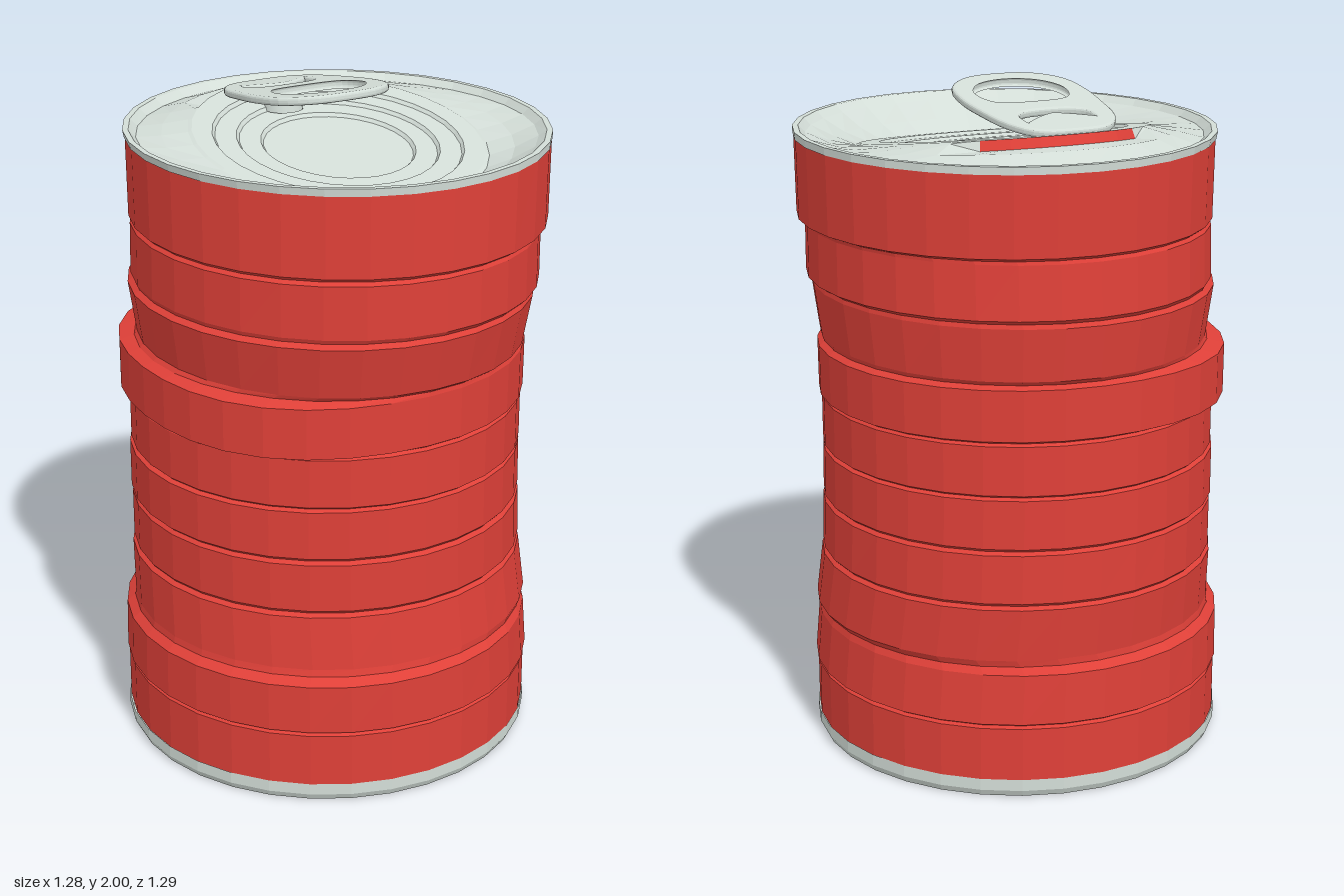
import * as THREE from 'three';

const SIDES = 32;
const red = new THREE.MeshStandardMaterial({ color: 0xdf4038, side: THREE.DoubleSide });
const metal = new THREE.MeshStandardMaterial({ color: 0xd3ddd7, side: THREE.DoubleSide });
red.name = 'red paint';
metal.name = 'bare metal';

// Elliptical ring; y may be a number or a rule of (x, z, angle)
function ring(y, cx, cz, rx, rz = rx, bump = () => 0) {
  return (t) => {
    const k = 1 + bump(t);
    const x = cx + rx * k * Math.sin(t), z = cz + rz * k * Math.cos(t);
    return new THREE.Vector3(x, typeof y === 'function' ? y(x, z, t) : y, z);
  };
}

// Faceted skin across a stack of rings, over a range of side numbers
function loft(name, rings, material, from = 0, to = SIDES) {
  const pos = [];
  const put = (...pts) => pts.forEach((p) => pos.push(p.x, p.y, p.z));
  for (let i = 0; i + 1 < rings.length; i++) {
    for (let j = from; j < to; j++) {
      const t0 = (j / SIDES) * Math.PI * 2, t1 = ((j + 1) / SIDES) * Math.PI * 2;
      const a = rings[i](t0), b = rings[i](t1), c = rings[i + 1](t1), d = rings[i + 1](t0);
      if (a.distanceTo(b) > 1e-6) put(a, b, c);
      if (c.distanceTo(d) > 1e-6) put(a, c, d);
    }
  }
  const g = new THREE.BufferGeometry();
  g.setAttribute('position', new THREE.Float32BufferAttribute(pos, 3));
  g.computeVertexNormals();
  const mesh = new THREE.Mesh(g, material);
  mesh.name = name;
  return mesh;
}

// Crumpled bands: bottom and top of each as [y, xMin, xMax, zMin, zMax]
const BANDS = [
  [[0.05, -0.635, 0.6, -0.607, 0.635], [0.215, -0.635, 0.6, -0.607, 0.635]],
  [[0.23, -0.64, 0.605, -0.61, 0.64], [0.38, -0.638, 0.59, -0.605, 0.64]],
  [[0.42, -0.61, 0.6, -0.58, 0.61], [0.58, -0.605, 0.585, -0.597, 0.592]],
  [[0.6, -0.6, 0.583, -0.597, 0.59], [0.745, -0.6, 0.578, -0.597, 0.59]],
  [[0.765, -0.602, 0.578, -0.6, 0.587], [0.91, -0.602, 0.576, -0.6, 0.587]],
  [[0.925, -0.597, 0.576, -0.6, 0.587], [1.07, -0.597, 0.576, -0.6, 0.587]],
  [[1.085, -0.61, 0.585, -0.603, 0.59], [1.235, -0.61, 0.587, -0.605, 0.59]],
  [[1.26, -0.567, 0.572, -0.605, 0.605], [1.415, -0.592, 0.59, -0.625, 0.643]],
  [[1.44, -0.58, 0.607, -0.63, 0.64], [1.595, -0.58, 0.605, -0.62, 0.64]],
  [[1.615, -0.582, 0.632, -0.63, 0.643], [1.85, -0.582, 0.637, -0.64, 0.643]],
];

function bodyRings() {
  const rings = [];
  const station = ([y, x0, x1, z0, z1], inset, bump) =>
    ring(y, (x0 + x1) / 2, (z0 + z1) / 2, (x1 - x0) / 2 - inset, (z1 - z0) / 2 - inset, bump);
  // Dent ridge pushed out on the two diagonals of the right side
  const ridge = (t) => (Math.sin(t) < -0.18 ? 0.045 * Math.sin(2 * t) ** 2 : 0);
  BANDS.forEach(([lo, hi], i) => {
    const bump = i === 6 ? ridge : undefined;
    rings.push(station(lo, 0, bump), station(hi, 0, bump));
    // Narrow groove before the next band
    const next = BANDS[i + 1];
    if (next) {
      const mid = hi.map((v, k) => (v + next[0][k]) / 2);
      rings.push(station(mid, 0.011));
    }
  });
  return rings;
}

// Closed shape through rounded points
function smoothPath(points, Type) {
  const curve = new THREE.CatmullRomCurve3(points.map(([x, y]) => new THREE.Vector3(x, y, 0)), true, 'centripetal');
  return new Type(curve.getPoints(48).slice(0, -1).map((p) => new THREE.Vector2(p.x, p.y)));
}

function pullTab() {
  // Drawn with +y toward the back
  const shape = smoothPath([[-0.01, -0.13], [-0.11, -0.115], [-0.18, -0.05], [-0.2, 0.06], [-0.195, 0.17],
    [-0.175, 0.3], [-0.12, 0.375], [-0.02, 0.39], [0.085, 0.375], [0.14, 0.3], [0.17, 0.17],
    [0.18, 0.06], [0.16, -0.05], [0.09, -0.115]], THREE.Shape);
  // Finger hole
  shape.holes.push(smoothPath([[-0.005, -0.075], [-0.1, -0.045], [-0.145, 0.03], [-0.12, 0.12],
    [-0.005, 0.14], [0.11, 0.12], [0.135, 0.03], [0.09, -0.045]], THREE.Path));
  // Crescent hole by the rivet
  const crescent = new THREE.Path();
  crescent.moveTo(-0.13, 0.31);
  crescent.bezierCurveTo(-0.16, 0.22, -0.1, 0.2, -0.02, 0.2);
  crescent.bezierCurveTo(0.08, 0.2, 0.12, 0.22, 0.095, 0.325);
  crescent.quadraticCurveTo(0.04, 0.27, -0.015, 0.25);
  crescent.quadraticCurveTo(-0.07, 0.27, -0.13, 0.31);
  shape.holes.push(crescent);
  const g = new THREE.ExtrudeGeometry(shape, {
    depth: 0.008, bevelThickness: 0.008, bevelSize: 0.01, bevelSegments: 3, curveSegments: 8,
  });
  g.rotateX(-Math.PI / 2);
  const tab = new THREE.Mesh(g, metal);
  tab.name = 'pullTab';
  tab.rotation.x = -0.15;
  tab.position.y = 1.963;
  return tab;
}

export function createModel() {
  const can = new THREE.Group();
  can.name = 'crushedCan';

  // Recessed base with a stepped floor and bottom rim
  const baseProfile = [[0, 0.05], [0.36, 0.05], [0.385, 0.035], [0.43, 0.035], [0.45, 0.05],
    [0.56, 0.05], [0.6, 0.0], [0.612, 0.0], [0.622, 0.02], [0.622, 0.055]];
  can.add(loft('base', baseProfile.map(([r, y]) => ring(y, -0.018, 0.014, r)), metal));

  can.add(loft('body', bodyRings(), red));

  // Rim and sloping shoulder around the tilted lid
  const plane = (z) => 1.843 - 0.16 * z;
  can.add(loft('rim', [
    ring(1.848, 0.027, 0.002, 0.612, 0.642),
    ring(1.87, 0.025, 0.002, 0.615, 0.643),
    ring(1.87, 0.025, 0.002, 0.598, 0.625),
    ring(1.85, 0.025, 0.002, 0.58, 0.59),
    ring((x, z) => (1.84 + plane(z)) / 2, 0.022, 0.015, 0.51, 0.515),
    ring((x, z, t) => plane(z) - (Math.cos(t) < -0.8 ? 0.03 : 0.004), 0.02, 0.02, 0.43, 0.455),
  ], metal));

  // Torn seam at the back of the lid
  const edge = ring((x, z) => plane(z), 0.02, 0.02, 0.42, 0.44);
  const seam = [ring((x, z, t) => plane(z) - (Math.cos(t) < -0.8 ? 0.03 : 0.004), 0.02, 0.02, 0.43, 0.455), edge];
  can.add(loft('tornSeam', seam, red, 13, 19));
  can.add(loft('lidEdge', seam, metal, 19, SIDES + 13));

  // Tilted lid with concentric steps
  const lid = [edge];
  [0.365, 0.295, 0.225].forEach((r, i) => {
    const drop = 0.01 * i;
    lid.push(ring((x, z) => plane(z) - drop, 0.015, 0.03, r));
    lid.push(ring((x, z) => plane(z) - drop - 0.01, 0.015, 0.03, r - 0.008));
  });
  lid.push(ring((x, z) => plane(z) - 0.03, 0.015, 0.03, 0));
  can.add(loft('lid', lid, metal));

  // Rivet holding the tab
  const rivet = new THREE.Mesh(new THREE.CylinderGeometry(0.05, 0.06, 0.05, 16), metal);
  rivet.name = 'rivet';
  rivet.position.set(-0.015, 1.888, -0.25);
  can.add(rivet, pullTab());
  return can;
}
